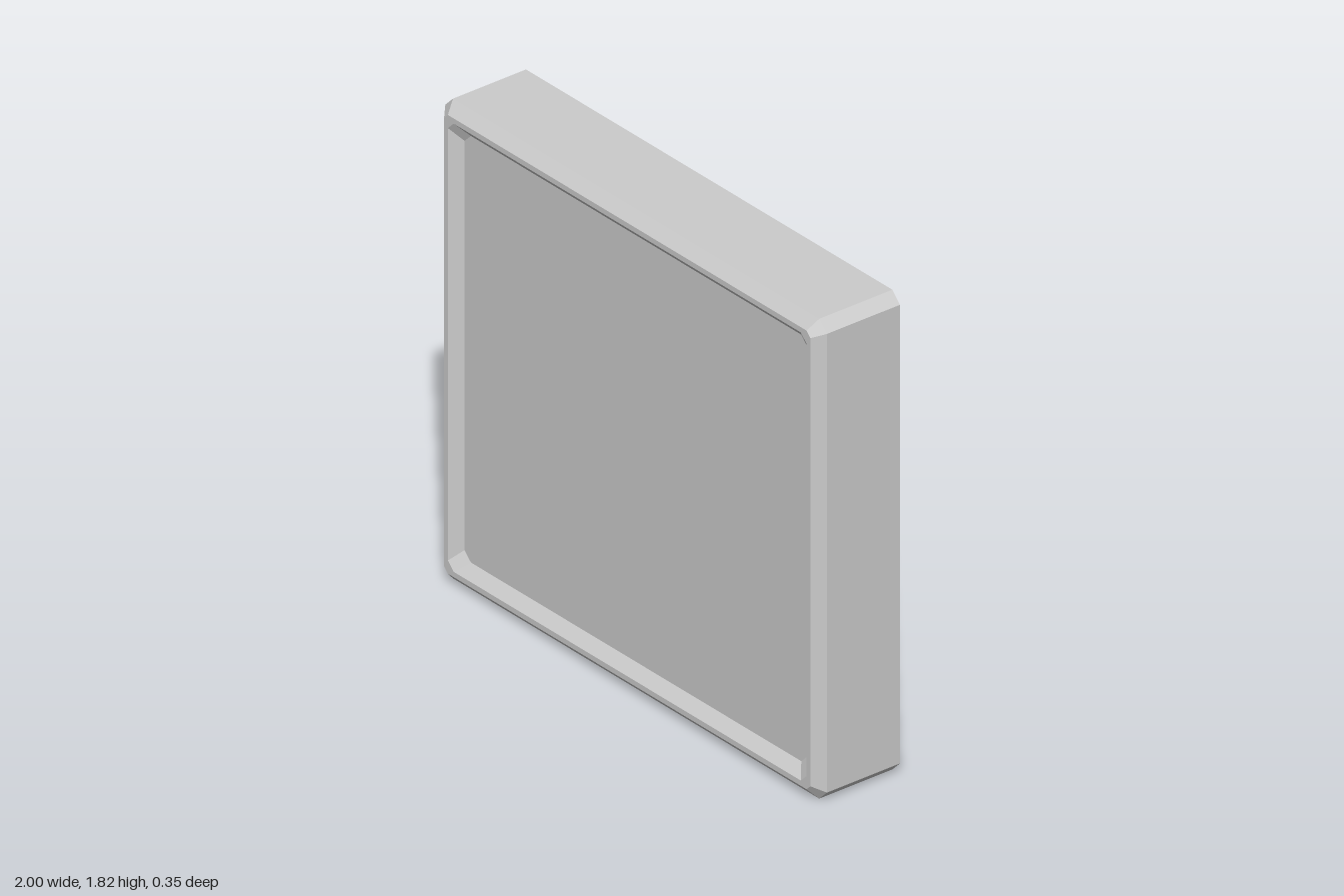
import * as THREE from 'three';

const HALF_W = 1, HEIGHT = 1.822;

// Rectangle with cut corners, counter-clockwise seen from the front
function ring(inset, cut, z) {
  const x = HALF_W - inset, b = inset, t = HEIGHT - inset;
  return [
    [x - cut, b], [x, b + cut], [x, t - cut], [x - cut, t],
    [-x + cut, t], [-x, t - cut], [-x, b + cut], [-x + cut, b],
  ].map(([px, py]) => new THREE.Vector3(px, py, z));
}

// Flat band of quads joining two rings
function band(from, to) {
  const pos = [];
  for (let i = 0; i < from.length; i++) {
    const j = (i + 1) % from.length;
    for (const p of [from[i], from[j], to[j], from[i], to[j], to[i]]) pos.push(p.x, p.y, p.z);
  }
  const geo = new THREE.BufferGeometry();
  geo.setAttribute('position', new THREE.Float32BufferAttribute(pos, 3));
  geo.computeVertexNormals();
  return geo;
}

export function createModel() {
  const group = new THREE.Group();
  group.name = 'openBackedCover';
  const material = new THREE.MeshStandardMaterial({
    color: 0xcccccc, flatShading: true, side: THREE.DoubleSide,
  });
  const add = (name, geo) => {
    const mesh = new THREE.Mesh(geo, material);
    mesh.name = name;
    group.add(mesh);
    return mesh;
  };

  // Cross-section from the open back, round the rim, into the recess
  const rings = [
    ring(0, 0.04, -0.175),
    ring(0, 0.04, 0.137),
    ring(0.04, 0.02, 0.175),
    ring(0.06, 0.03, 0.175),
    ring(0.101, 0.033, 0.137),
  ];
  ['sideWalls', 'outerBevel', 'frontRim', 'recessBevel'].forEach((name, i) =>
    add(name, band(rings[i], rings[i + 1])));

  // Recessed front panel
  const edge = rings[4];
  const panel = new THREE.Shape(edge.map((p) => new THREE.Vector2(p.x, p.y)));
  add('frontPanel', new THREE.ShapeGeometry(panel)).position.z = edge[0].z;

  return group;
}
